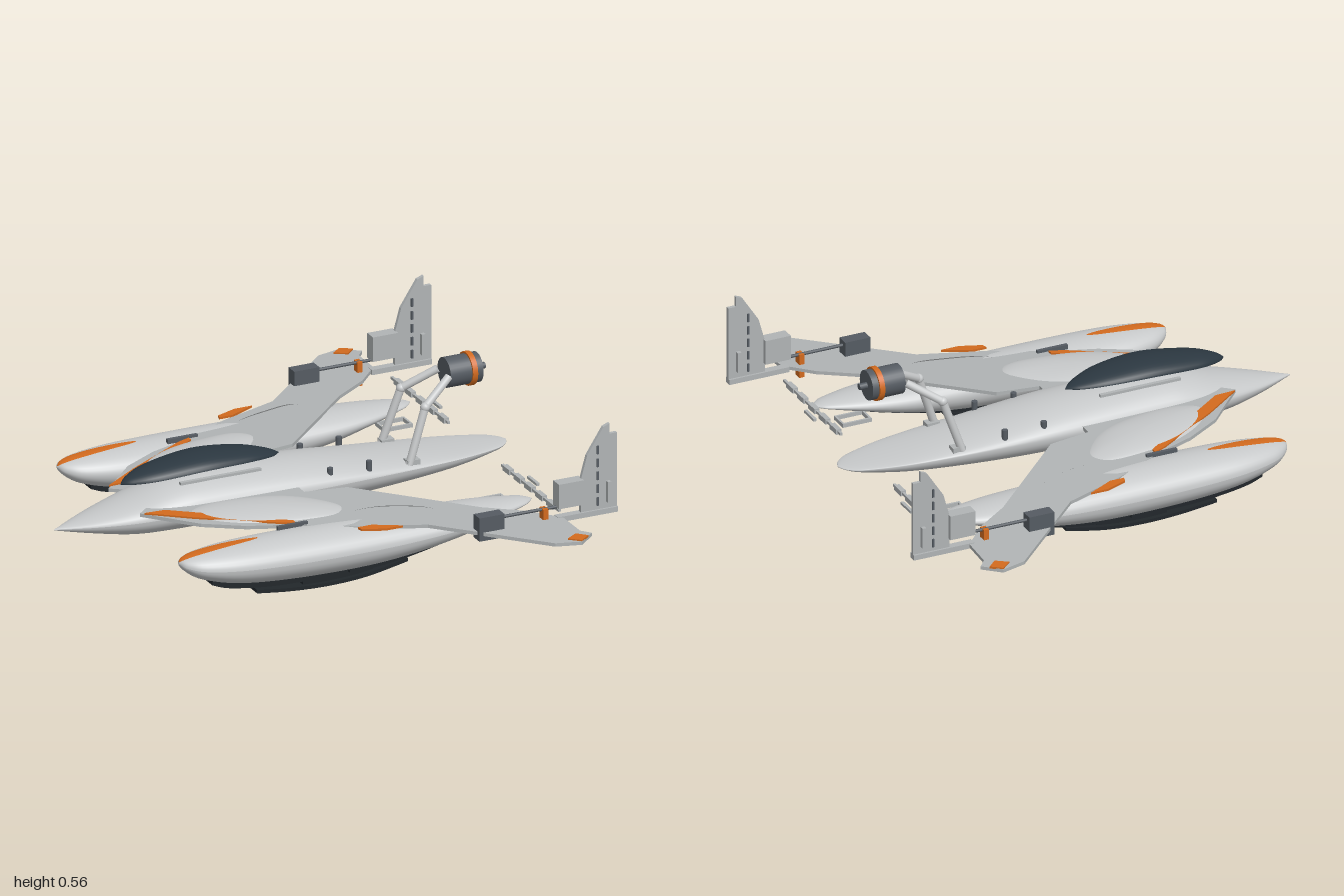
import * as THREE from 'three';

const mat = (name, color, side = THREE.FrontSide) => {
  const m = new THREE.MeshStandardMaterial({ color, side });
  m.name = name;
  return m;
};

// Smooth surface from fn(u, v) -> [x, y, z]
function grid(fn, nu, nv) {
  const pos = [], idx = [];
  for (let i = 0; i <= nu; i++) for (let j = 0; j <= nv; j++) pos.push(...fn(i / nu, j / nv));
  for (let i = 0; i < nu; i++) for (let j = 0; j < nv; j++) {
    const a = i * (nv + 1) + j, b = a + nv + 1;
    idx.push(a, a + 1, b, b, a + 1, b + 1);
  }
  const g = new THREE.BufferGeometry();
  g.setAttribute('position', new THREE.Float32BufferAttribute(pos, 3));
  g.setIndex(idx);
  g.computeVertexNormals();
  return g;
}

// Hull surface through stations [x, halfWidth, top, mid, bottom]
function hull(stations, zc = 0) {
  const curves = [1, 2, 3, 4].map(k => new THREE.SplineCurve(stations.map(s => new THREE.Vector2(s[0], s[k]))));
  return (u, v, grow = 0) => {
    const p = curves.map(c => c.getPoint(u));
    const [w, top, mid, bot] = p.map(q => q.y);
    const a = -v * Math.PI * 2, s = Math.sin(a), c = Math.cos(a);
    return [p[0].x, mid + (s > 0 ? top - mid : mid - bot) * s + grow * s, zc + (Math.max(w, 0) + grow) * c];
  };
}

// Flat plate from [x, z] points, falling gently towards the wing tip
function plate(pts, y, t, tilt = 0.03) {
  const g = new THREE.ExtrudeGeometry(new THREE.Shape(pts.map(p => new THREE.Vector2(...p))), { depth: t, bevelEnabled: false });
  g.rotateX(Math.PI / 2);
  const p = g.attributes.position;
  for (let i = 0; i < p.count; i++) p.setY(i, p.getY(i) + y + tilt * (1 - Math.abs(p.getZ(i))));
  g.computeVertexNormals();
  return g;
}

// Low rounded blister over a closed [x, z] outline
function blister(pts, y, h) {
  const curve = new THREE.CatmullRomCurve3(pts.map(p => new THREE.Vector3(p[0], 0, p[1])), true);
  const cx = pts.reduce((s, p) => s + p[0], 0) / pts.length;
  const cz = pts.reduce((s, p) => s + p[1], 0) / pts.length;
  return grid((u, v) => {
    const q = curve.getPoint(v), a = u * Math.PI / 2, k = Math.cos(a);
    return [cx + (q.x - cx) * k, y + h * Math.sin(a), cz + (q.z - cz) * k];
  }, 10, 48);
}

// Curved strip along a side profile of [x, y] points
function keel(pts, t, width, z) {
  const line = new THREE.SplineCurve(pts.map(p => new THREE.Vector2(...p))).getPoints(24);
  const upper = line.map(p => new THREE.Vector2(p.x, p.y + t)).reverse();
  const g = new THREE.ExtrudeGeometry(new THREE.Shape([...line, ...upper]), { depth: width, bevelEnabled: false });
  return g.translate(0, 0, z - width / 2);
}

function mirrored(geo) {
  const g = geo.index ? geo.toNonIndexed() : geo.clone();
  g.applyMatrix4(new THREE.Matrix4().makeScale(1, 1, -1));
  const n = g.attributes.position.count;
  g.setIndex(Array.from({ length: n }, (_, i) => i - (i % 3) + [0, 2, 1][i % 3]));
  return g;
}

const box = (x0, x1, y0, y1, z0, z1) =>
  new THREE.BoxGeometry(x1 - x0, y1 - y0, z1 - z0).translate((x0 + x1) / 2, (y0 + y1) / 2, (z0 + z1) / 2);

const rodX = (r, x0, x1, y, z, n = 32) =>
  new THREE.CylinderGeometry(r, r, x1 - x0, n).rotateZ(Math.PI / 2).translate((x0 + x1) / 2, y, z);

export function createModel() {
  const group = new THREE.Group();
  const light = mat('hull light grey', 0xc6c8c9);
  const grey = mat('wing grey', 0xb0b4b5);
  const dark = mat('dark grey', 0x555b62);
  const glass = mat('canopy slate', 0x2b3740);
  const black = mat('keel black', 0x22272b);
  const orange = mat('orange', 0xd26a1e, THREE.DoubleSide);

  const add = (name, geo, m) => {
    const mesh = new THREE.Mesh(geo, m);
    mesh.name = name;
    group.add(mesh);
  };
  const pair = (name, geo, m) => {
    add(name + 'Left', geo, m);
    add(name + 'Right', mirrored(geo), m);
  };

  // Fuselage and canopy
  add('fuselage', grid(hull([
    [-0.94, 0, 0.172, 0.17, 0.168], [-0.8, 0.072, 0.205, 0.18, 0.14], [-0.65, 0.125, 0.243, 0.19, 0.115],
    [-0.5, 0.15, 0.285, 0.2, 0.11], [-0.35, 0.157, 0.297, 0.205, 0.11], [0, 0.162, 0.285, 0.21, 0.11],
    [0.3, 0.15, 0.25, 0.21, 0.12], [0.6, 0.12, 0.22, 0.205, 0.145], [0.78, 0.075, 0.208, 0.2, 0.175],
    [0.84, 0.038, 0.203, 0.198, 0.19], [0.86, 0, 0.2, 0.198, 0.196]]), 64, 40), light);
  add('canopy', grid(hull([
    [-0.675, 0, 0.301, 0.299, 0.297], [-0.64, 0.035, 0.324, 0.304, 0.3], [-0.55, 0.074, 0.35, 0.316, 0.311],
    [-0.37, 0.096, 0.371, 0.332, 0.327], [-0.2, 0.08, 0.358, 0.328, 0.323], [-0.09, 0.04, 0.332, 0.316, 0.312],
    [-0.045, 0, 0.312, 0.31, 0.308]]), 40, 32), glass);
  pair('canopyRail', box(-0.47, -0.15, 0.285, 0.295, 0.06, 0.075), grey);
  for (const x of [0.1, 0.255])
    pair('deckStud', new THREE.CylinderGeometry(0.011, 0.011, 0.05, 12).translate(x, 0.245, 0.125), dark);

  // Pontoons with keels and orange nose flash
  const pontoon = hull([
    [-0.685, 0, 0.182, 0.18, 0.178], [-0.665, 0.038, 0.197, 0.17, 0.15], [-0.6, 0.078, 0.21, 0.16, 0.11],
    [-0.45, 0.11, 0.22, 0.152, 0.072], [-0.2, 0.121, 0.223, 0.145, 0.053], [0.1, 0.121, 0.22, 0.145, 0.055],
    [0.35, 0.113, 0.212, 0.155, 0.09], [0.52, 0.09, 0.205, 0.168, 0.132], [0.66, 0.048, 0.195, 0.178, 0.165],
    [0.7, 0.025, 0.188, 0.18, 0.174], [0.72, 0, 0.182, 0.18, 0.178]], 0.5);
  pair('pontoon', grid(pontoon, 56, 36), light);
  pair('pontoonFlash', grid((u, v) => {
    const spread = 0.012 + 0.13 * (1 - u) ** 0.6;
    return pontoon(0.01 + 0.325 * u, 0.75 + (v - 0.5) * spread, 0.003);
  }, 20, 10), orange);
  pair('keelFront', keel([[-0.57, 0.09], [-0.5, 0.066], [-0.35, 0.045], [-0.2, 0.039], [-0.05, 0.038]], 0.02, 0.08, 0.5), black);
  pair('keelRear', keel([[-0.02, 0.038], [0.1, 0.042], [0.25, 0.064], [0.45, 0.11], [0.64, 0.165]], 0.02, 0.07, 0.5), black);
  pair('keelSkid', keel([[-0.39, 0.025], [-0.25, 0.009], [-0.1, 0.003], [0.05, 0.012], [0.21, 0.042]], 0.013, 0.075, 0.5), black);
  pair('skidPost', box(-0.2, 0.08, 0.01, 0.045, 0.48, 0.52), black);

  // Swept wings
  pair('wing', plate([[-0.66, 0.13], [-0.5, 0.3], [-0.36, 0.385], [-0.21, 0.44], [0, 0.55], [0.24, 0.64],
    [0.585, 0.975], [0.68, 1], [0.745, 0.945], [0.715, 0.91], [0.71, 0.78], [0.62, 0.68], [0.48, 0.58],
    [0.12, 0.225], [-0.04, 0.2], [-0.04, 0.08], [-0.6, 0.08]], 0.206, 0.013), grey);
  pair('wingStripe', plate([[-0.65, 0.145], [-0.57, 0.15], [-0.19, 0.42], [-0.19, 0.44], [-0.24, 0.42], [-0.5, 0.255]], 0.212, 0.007), orange);
  pair('edgeFlash', plate([[-0.005, 0.57], [0.05, 0.57], [0.15, 0.622], [0.08, 0.622], [0, 0.59]], 0.212, 0.008), orange);
  pair('tipMarker', plate([[0.64, 0.965], [0.68, 0.998], [0.72, 0.968], [0.685, 0.935]], 0.211, 0.008), orange);
  pair('wingBlister', blister([[-0.515, 0.17], [-0.52, 0.22], [-0.46, 0.3], [-0.32, 0.385], [-0.15, 0.425],
    [0, 0.425], [0.045, 0.37], [0, 0.28], [-0.1, 0.19], [-0.25, 0.14], [-0.42, 0.13]], 0.212, 0.037), light);
  pair('pontoonBlister', blister([[-0.03, 0.43], [0.1, 0.41], [0.25, 0.46], [0.335, 0.53], [0.31, 0.58],
    [0.18, 0.565], [0, 0.5]], 0.208, 0.032), light);
  pair('wingFence', box(-0.27, -0.15, 0.21, 0.232, 0.446, 0.46), dark);

  // Tail fins and their equipment
  const fin = new THREE.Shape([[0.785, 0.2], [0.785, 0.34], [0.81, 0.43], [0.875, 0.53], [0.9, 0.54], [0.9, 0.5],
    [0.93, 0.5], [0.93, 0.2]].map(p => new THREE.Vector2(...p)));
  pair('fin', new THREE.ExtrudeGeometry(fin, { depth: 0.014, bevelEnabled: false }).translate(0, 0, 0.758), grey);
  pair('finBox', box(0.69, 0.79, 0.25, 0.345, 0.741, 0.789), grey);
  pair('finFoot', box(0.69, 0.93, 0.195, 0.215, 0.75, 0.78), grey);
  pair('finPanel', box(0.885, 0.9, 0.24, 0.32, 0.742, 0.788), grey);
  for (let i = 0; i < 5; i++)
    pair('finHinge', box(0.848, 0.856, 0.23 + i * 0.05, 0.262 + i * 0.05, 0.753, 0.777), dark);
  pair('sensorBox', box(0.375, 0.475, 0.18, 0.27, 0.738, 0.786), dark);
  pair('sensorRod', rodX(0.006, 0.47, 0.7, 0.25, 0.762, 12), dark);
  pair('sensorClamp', box(0.632, 0.652, 0.215, 0.255, 0.748, 0.78), orange);
  pair('lowerClamp', box(0.632, 0.652, 0.163, 0.187, 0.748, 0.78), orange);

  // Segmented booms and loading frames behind the pontoons
  pair('boom', box(0.735, 0.745, 0.195, 0.205, 0.22, 0.69), grey);
  for (let i = 0; i < 5; i++)
    pair('boomSegment', box(0.73, 0.75, 0.19, 0.21, 0.24 + i * 0.09, 0.295 + i * 0.09), grey);
  pair('boomSide', box(0.77, 0.782, 0.195, 0.205, 0.36, 0.44), grey);
  for (const z of [0.362, 0.428]) pair('frameSide', box(0.55, 0.665, 0.143, 0.158, z, z + 0.008), grey);
  for (const x of [0.55, 0.657]) pair('frameEnd', box(x, x + 0.008, 0.143, 0.158, 0.362, 0.436), grey);

  // Raised engine on bent struts
  const joints = [[0.42, 0.22, 0.115], [0.49, 0.425, 0.1], [0.61, 0.5, 0.045]].map(p => new THREE.Vector3(...p));
  const up = new THREE.Vector3(0, 1, 0);
  for (let i = 0; i < 2; i++) {
    const d = joints[i + 1].clone().sub(joints[i]), mid = joints[i].clone().addScaledVector(d, 0.5);
    const g = new THREE.CylinderGeometry(0.015, 0.015, d.length(), 14);
    g.applyQuaternion(new THREE.Quaternion().setFromUnitVectors(up, d.normalize())).translate(mid.x, mid.y, mid.z);
    pair('strut', g, light);
  }
  pair('strutJoint', new THREE.SphereGeometry(0.018, 14, 10).translate(0.49, 0.425, 0.1), light);
  pair('strutFoot', box(0.41, 0.46, 0.215, 0.238, 0.09, 0.125), grey);
  add('engine', rodX(0.056, 0.615, 0.745, 0.5, 0), dark);
  add('engineRing', rodX(0.063, 0.7, 0.72, 0.5, 0), orange);
  add('engineShaft', rodX(0.012, 0.74, 0.775, 0.5, 0, 16), dark);
  return group;
}
